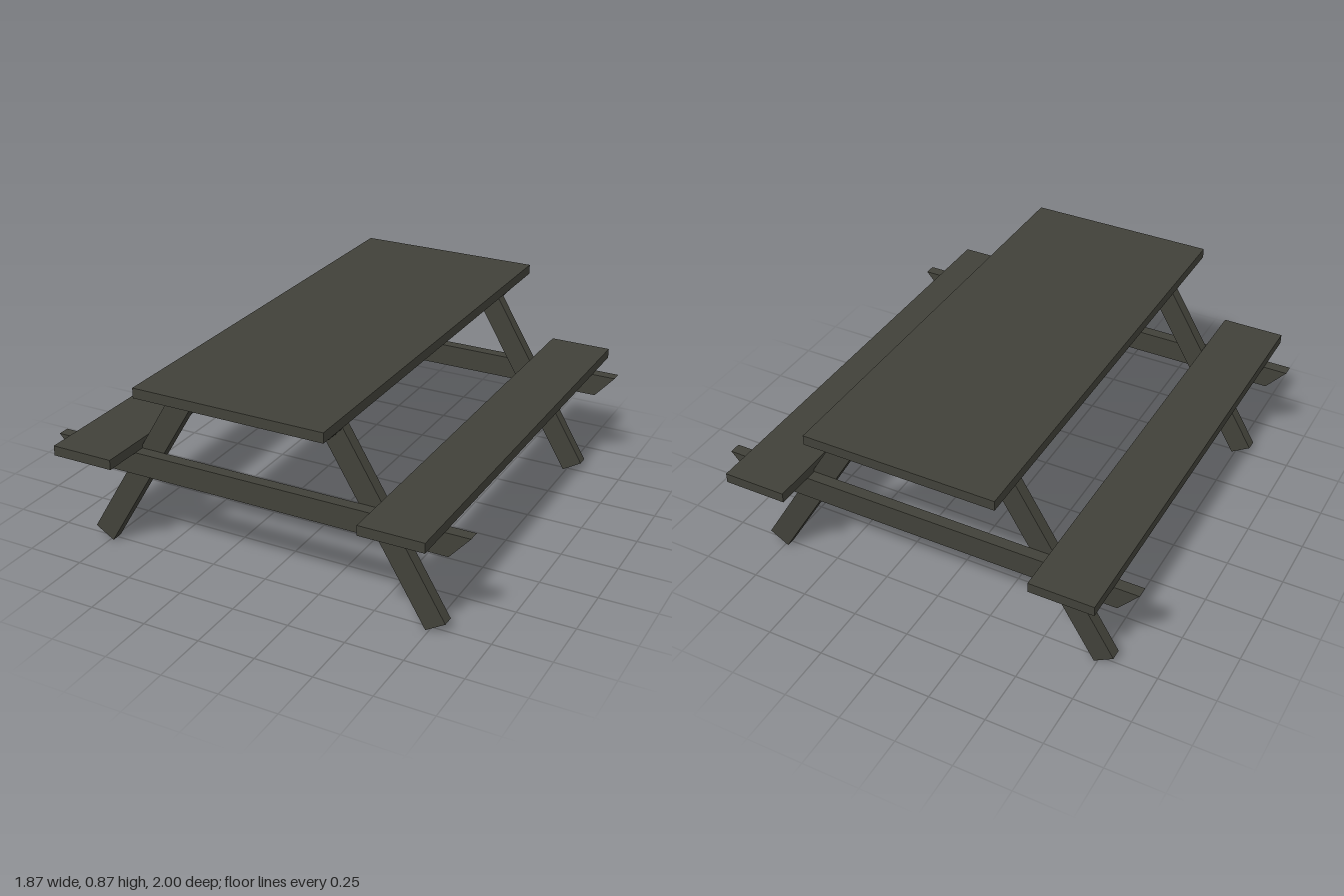
import * as THREE from 'three';

export function createModel() {
  const group = new THREE.Group();
  const wood = new THREE.MeshStandardMaterial({ color: 0x414139 });
  wood.name = 'dark wood';

  const add = (name, geometry, x, y, z) => {
    const mesh = new THREE.Mesh(geometry, wood);
    mesh.name = name;
    mesh.position.set(x, y, z);
    group.add(mesh);
    return mesh;
  };

  // Flat plank spanning the full length
  const plank = (name, x, y, width) =>
    add(name, new THREE.BoxGeometry(width, 0.043, 2), x, y, 0);

  // Cross beam with slanted ends, wider at the top
  const beam = (name, top, bottom, y0, y1, z) => {
    const shape = new THREE.Shape([
      new THREE.Vector2(-bottom, y0),
      new THREE.Vector2(bottom, y0),
      new THREE.Vector2(top, y1),
      new THREE.Vector2(-top, y1),
    ]);
    const geometry = new THREE.ExtrudeGeometry(shape, { depth: 0.05, bevelEnabled: false });
    geometry.translate(0, 0, -0.025);
    return add(name, geometry, 0, 0, z);
  };

  plank('tableTop', 0, 0.849, 0.832);

  // Slanted leg: square-cut board from foot to table top
  const foot = new THREE.Vector2(0.778, 0.025);
  const head = new THREE.Vector2(0.309, 0.804);
  const legLength = foot.distanceTo(head);
  const legAngle = Math.atan2(foot.x - head.x, head.y - foot.y);

  for (const side of [-1, 1]) {
    const sideName = side > 0 ? 'left' : 'right';
    plank(sideName + 'Bench', side * 0.689, 0.505, 0.276);
    for (const end of [-1, 1]) {
      const leg = add(sideName + (end > 0 ? 'FrontLeg' : 'BackLeg'),
        new THREE.BoxGeometry(0.098, legLength, 0.05),
        side * (foot.x + head.x) / 2, (foot.y + head.y) / 2, end * 0.755);
      leg.rotation.z = side * legAngle;
    }
  }

  // Beams on the outer face of each leg pair
  for (const end of [-1, 1]) {
    const endName = end > 0 ? 'front' : 'back';
    beam(endName + 'BenchBeam', 0.933, 0.845, 0.384, 0.484, end * 0.805);
    beam(endName + 'TopBeam', 0.415, 0.345, 0.75, 0.828, end * 0.805);
  }

  return group;
}
